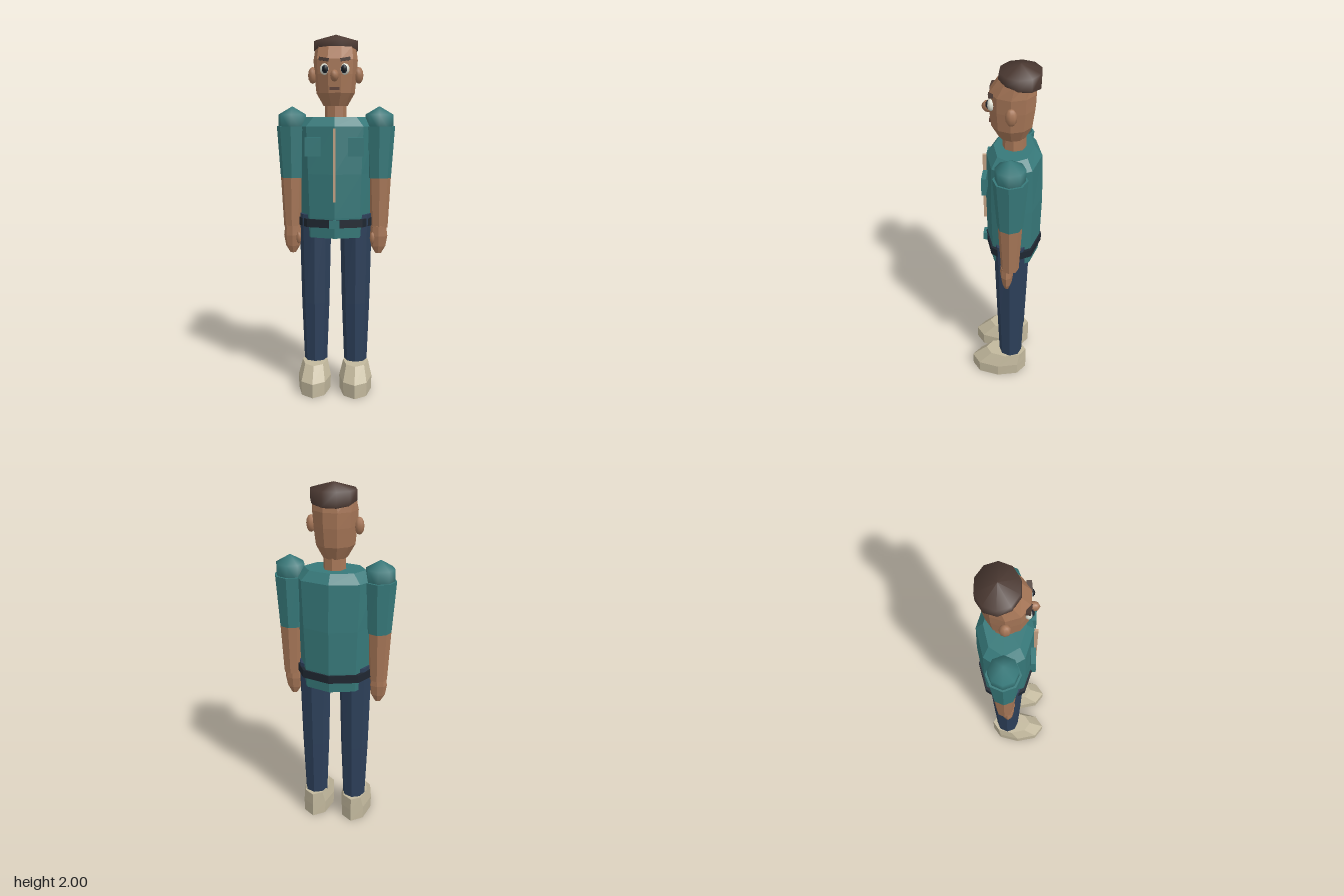
import * as THREE from 'three';

const mat = (name, color) => {
  const m = new THREE.MeshStandardMaterial({ color });
  m.name = name;
  return m;
};

// Closed loft of n-sided rings; each row is [y, rx, rz, centreZ]
function loft(rows, n = 8, phase = 0, smooth = false) {
  const pos = [], idx = [];
  for (const [y, rx, rz, cz] of rows) {
    for (let i = 0; i < n; i++) {
      const a = phase + (i / n) * Math.PI * 2;
      pos.push(Math.sin(a) * rx, y, cz + Math.cos(a) * rz);
    }
  }
  for (let r = 0; r < rows.length - 1; r++) {
    for (let i = 0; i < n; i++) {
      const a = r * n + i, b = r * n + (i + 1) % n;
      idx.push(a, b, b + n, a, b + n, a + n);
    }
  }
  const last = rows.length - 1, base = rows.length * n;
  pos.push(0, rows[0][0], rows[0][3], 0, rows[last][0], rows[last][3]);
  for (let i = 0; i < n; i++) {
    const j = (i + 1) % n;
    idx.push(base, j, i, base + 1, last * n + i, last * n + j);
  }
  let g = new THREE.BufferGeometry();
  g.setAttribute('position', new THREE.Float32BufferAttribute(pos, 3));
  g.setIndex(idx);
  if (!smooth) g = g.toNonIndexed();
  g.computeVertexNormals();
  return g;
}

export function createModel() {
  const model = new THREE.Group();
  model.name = 'standingMan';

  const shirt = mat('teal shirt', 0x37797a);
  const denim = mat('navy trousers', 0x2d405a);
  const skin = mat('brown skin', 0xa67657);
  const hairMat = mat('dark brown hair', 0x4b3932);
  const black = mat('belt black', 0x1f2731);
  const shoeMat = mat('beige shoe', 0xc2b89d);
  const tan = mat('tan zip', 0xc4a284);
  const white = mat('eye white', 0xdfe0d2);
  const pupilMat = mat('pupil black', 0x14181c);
  const lipMat = mat('mouth brown', 0x5e4036);

  const add = (name, geo, material, x = 0, y = 0, z = 0) => {
    const m = new THREE.Mesh(geo, material);
    m.name = name;
    m.position.set(x, y, z);
    model.add(m);
    return m;
  };
  const box = (w, h, d) => new THREE.BoxGeometry(w, h, d);
  const ball = (rx, ry, rz, w = 8, h = 6) => new THREE.SphereGeometry(1, w, h).scale(rx, ry, rz);
  const C = -0.045; // body centre line in z

  // Torso, belt and shirt details
  add('torso', loft([
    [0.885, 0.19, 0.138, C], [1.0, 0.197, 0.147, C], [1.24, 0.208, 0.153, C],
    [1.5, 0.222, 0.146, C], [1.55, 0.168, 0.108, C],
  ]), shirt);
  add('belt', loft([[0.945, 0.218, 0.154, C], [0.99, 0.218, 0.154, C]]), black);
  add('buckle', box(0.056, 0.045, 0.03), shirt, 0, 0.967, 0.108);
  add('zip', box(0.014, 0.4, 0.024), tan, 0, 1.29, 0.108);

  // Neck and head
  add('neck', loft([[1.53, 0.062, 0.062, C], [1.64, 0.058, 0.06, C]]), skin);
  add('head', loft([
    [1.61, 0.066, 0.07, -0.035], [1.68, 0.106, 0.108, -0.033], [1.78, 0.117, 0.12, -0.035],
    [1.86, 0.122, 0.121, -0.037], [1.93, 0.112, 0.09, -0.055],
  ], 10, Math.PI / 10), skin);

  // Hair cap, its lower edge dropping towards the back
  const hair = loft([
    [1.905, 0.112, 0.1, -0.07], [1.912, 0.121, 0.109, -0.07],
    [1.967, 0.121, 0.107, -0.073], [2.0, 0.002, 0.002, -0.073],
  ], 10, Math.PI / 10, true);
  const hp = hair.attributes.position;
  for (let i = 0; i < hp.count; i++) {
    if (hp.getY(i) < 1.93) hp.setY(i, hp.getY(i) + (hp.getZ(i) + 0.07) * 0.2);
  }
  hair.computeVertexNormals();
  add('hair', hair, hairMat);

  // Face
  add('nose', ball(0.023, 0.032, 0.032), skin, 0, 1.77, 0.088);
  add('mouth', box(0.054, 0.016, 0.009), lipMat, 0, 1.702, 0.076);

  for (const s of [1, -1]) {
    const side = s > 0 ? 'left' : 'right';
    const part = (name, geo, material, x, y, z) => add(side + name, geo, material, s * x, y, z);

    // Eyes, brows, ears
    part('Eye', ball(0.027, 0.031, 0.02, 12, 8), white, 0.053, 1.805, 0.067);
    part('Iris', ball(0.017, 0.023, 0.008, 10, 6), black, 0.051, 1.805, 0.083);
    part('Pupil', ball(0.01, 0.015, 0.004, 8, 6), pupilMat, 0.051, 1.805, 0.09);
    const brow = part('Brow', box(0.054, 0.017, 0.024), hairMat, 0.057, 1.857, 0.068);
    brow.rotation.set(0, s * 0.12, s * 0.17);
    part('Ear', ball(0.026, 0.046, 0.03), skin, 0.127, 1.778, -0.038);

    // Chest pocket
    part('Pocket', box(0.087, 0.1, 0.024), shirt, 0.117, 1.39, 0.099);

    // Arm
    part('Shoulder', ball(0.09, 0.092, 0.09, 8, 3), shirt, 0.243, 1.518, C);
    part('Sleeve', loft([[1.213, 0.068, 0.068, 0], [1.5, 0.088, 0.09, 0]]), shirt, 0.243, 0, C);
    part('Forearm', loft([[0.93, 0.049, 0.048, 0], [1.22, 0.065, 0.064, 0]]), skin, 0.246, 0, C);
    part('Hand', loft([
      [0.785, 0.016, 0.012, 0], [0.825, 0.04, 0.026, 0],
      [0.885, 0.051, 0.035, 0], [0.94, 0.044, 0.034, 0],
    ]), skin, 0.243, 0, -0.028);
    part('Thumb', ball(0.014, 0.035, 0.016, 6, 4), skin, 0.208, 0.875, -0.002);

    // Leg
    part('Leg', loft([
      [0.14, 0.065, 0.067, 0], [0.5, 0.079, 0.08, 0], [1.012, 0.091, 0.096, 0],
    ]), denim, 0.115, 0, -0.04);

    // Shoe with sloping toe
    part('Shoe', loft([
      [0, 0.09, 0.165, 0.03], [0.078, 0.093, 0.166, 0.03], [0.155, 0.072, 0.122, -0.013],
    ]), shoeMat, 0.117, 0, 0);
  }

  return model;
}
